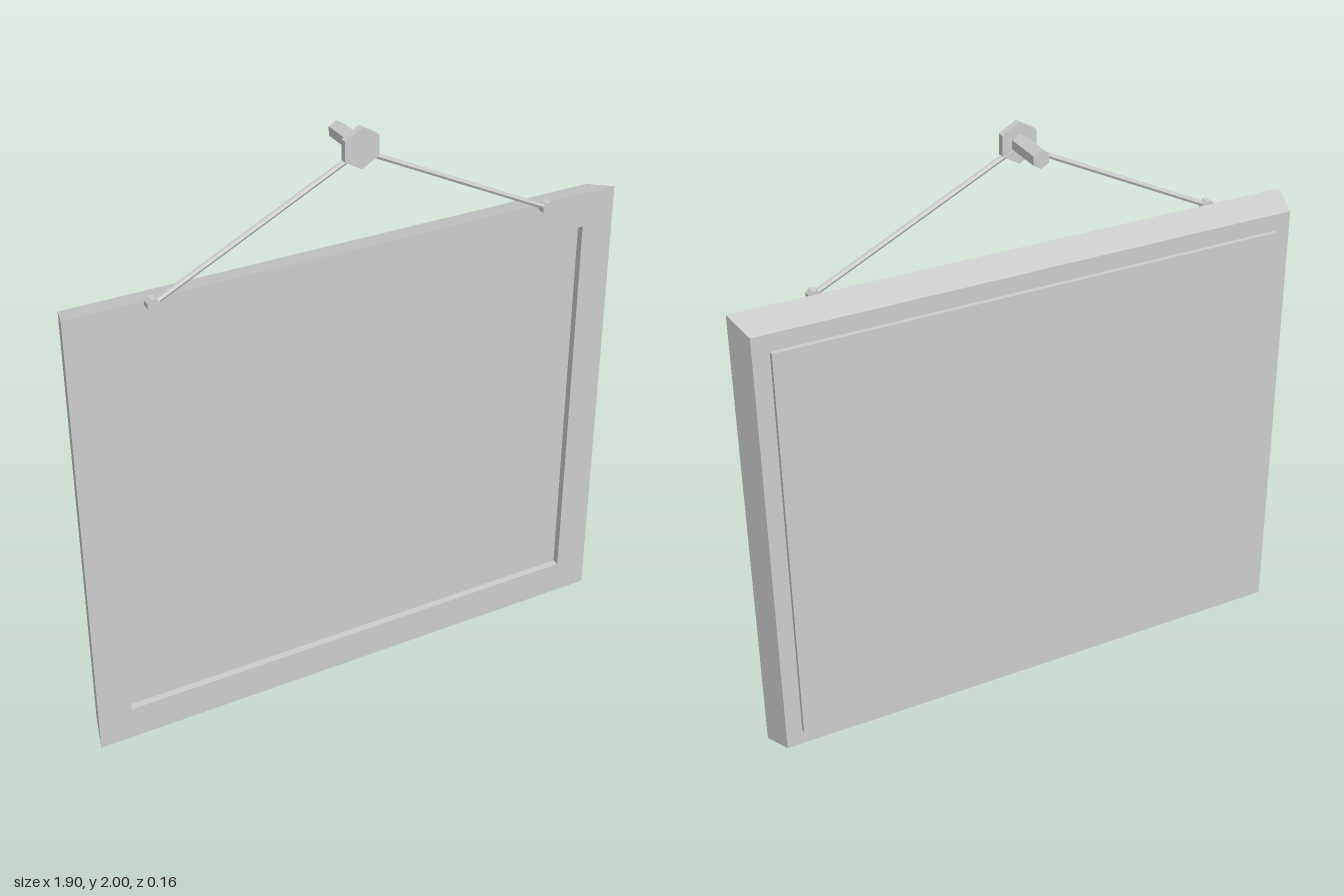
import * as THREE from 'three';

const MID_Y = 0.797;

// Mitred rectangular moulding: rings of [halfWidth, halfHeight, z] joined by flat quads
function mouldingGeometry(rings) {
  const corners = [[1, 1], [-1, 1], [-1, -1], [1, -1]];
  const point = ([w, h, z], i) => [corners[i % 4][0] * w, corners[i % 4][1] * h, z];
  const positions = [];
  for (let r = 0; r < rings.length - 1; r++) {
    for (let i = 0; i < 4; i++) {
      const a = point(rings[r], i), b = point(rings[r + 1], i);
      const c = point(rings[r + 1], i + 1), d = point(rings[r], i + 1);
      positions.push(...a, ...b, ...c, ...a, ...c, ...d);
    }
  }
  const geometry = new THREE.BufferGeometry();
  geometry.setAttribute('position', new THREE.Float32BufferAttribute(positions, 3));
  geometry.computeVertexNormals();
  return geometry;
}

export function createModel() {
  const model = new THREE.Group();
  model.name = 'hangingPictureFrame';
  const grey = new THREE.MeshStandardMaterial({ color: 0xcccccc });
  grey.name = 'plainGrey';
  grey.flatShading = true;

  const add = (name, geometry, x, y, z) => {
    const mesh = new THREE.Mesh(geometry, grey);
    mesh.name = name;
    mesh.position.set(x, y, z);
    model.add(mesh);
    return mesh;
  };

  // Prism along z with a corner pointing up
  const prism = (name, radius, sides, x, y, zBack, zFront) => {
    const geometry = new THREE.CylinderGeometry(radius, radius, zFront - zBack, sides);
    geometry.rotateX(Math.PI / 2);
    return add(name, geometry, x, y, (zBack + zFront) / 2);
  };

  // Frame with sides tapering towards the wall
  add('frame', mouldingGeometry([
    [0.835, 0.68, 0.02],
    [0.835, 0.68, 0.05],
    [0.95, 0.797, 0.05],
    [0.92, 0.767, -0.061],
    [0.835, 0.68, -0.061],
  ]), 0, MID_Y, 0);

  // Recessed picture and raised backing board
  add('picture', new THREE.BoxGeometry(1.67, 1.36, 0.06), 0, MID_Y, -0.005);
  add('backBoard', new THREE.BoxGeometry(1.73, 1.42, 0.041), 0, MID_Y, -0.0565);

  // Wall peg with hexagonal head
  prism('pegHead', 0.066, 6, 0, 1.934, 0.058, 0.081);
  prism('pegShaft', 0.029, 6, 0, 1.934, -0.081, 0.058);

  // Strings and the studs that hold them
  for (const side of [1, -1]) {
    const stud = prism(side > 0 ? 'leftStud' : 'rightStud', 0.021, 8, side * 0.677, 1.587, 0.048, 0.076);
    stud.rotation.z = Math.PI / 8;

    const start = new THREE.Vector3(side * 0.677, 1.587, 0.066);
    const end = new THREE.Vector3(0, 1.922, 0.066);
    const along = end.clone().sub(start);
    const middle = start.clone().add(end).multiplyScalar(0.5);
    const string = add(side > 0 ? 'leftString' : 'rightString',
      new THREE.CylinderGeometry(0.009, 0.009, along.length(), 6), middle.x, middle.y, middle.z);
    string.quaternion.setFromUnitVectors(new THREE.Vector3(0, 1, 0), along.normalize());
  }

  return model;
}
